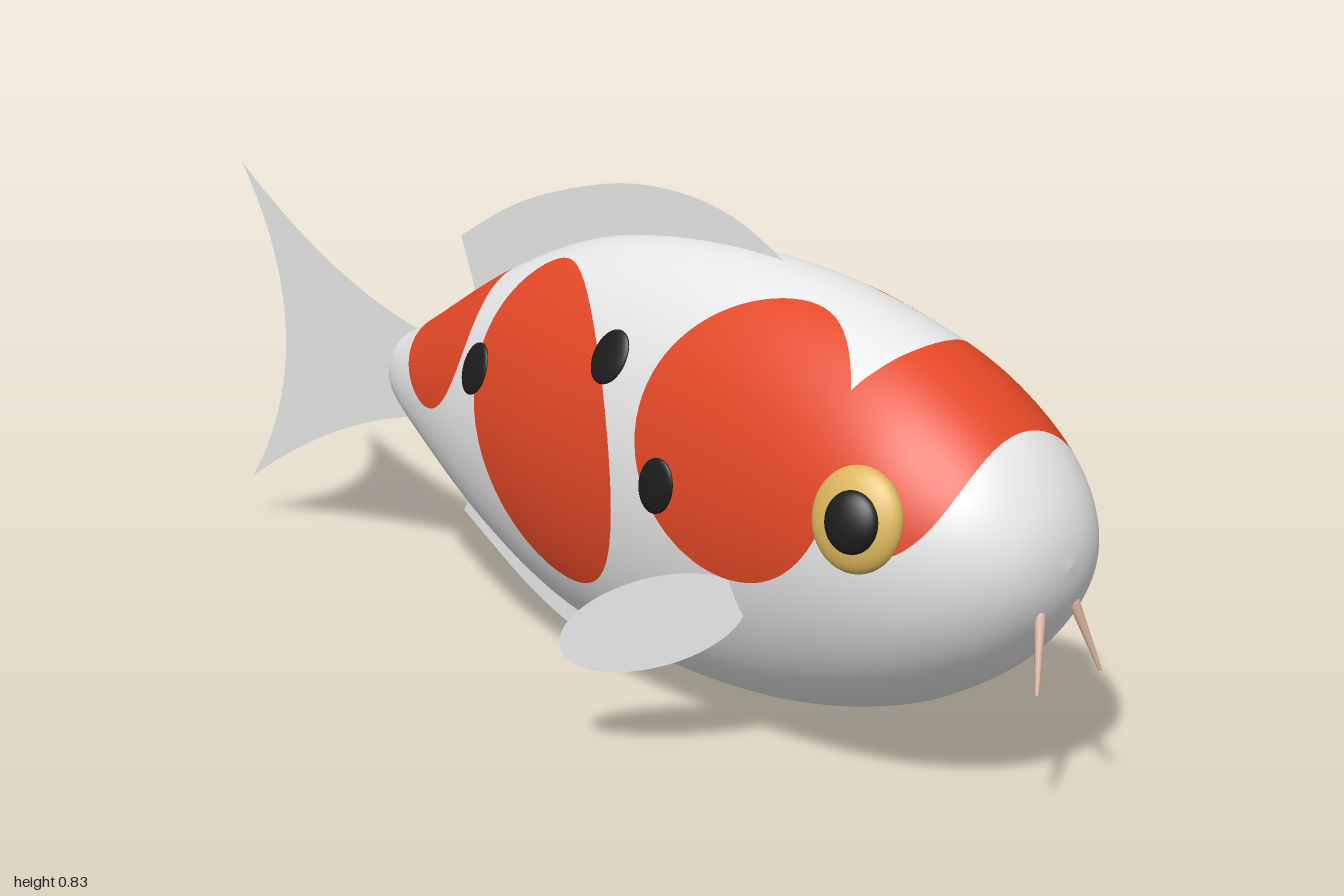
import * as THREE from 'three';

const mat = (name, color, side = THREE.FrontSide) => {
  const m = new THREE.MeshStandardMaterial({ color, side });
  m.name = name;
  return m;
};

// Body stations: x, half height, half width
const CY = 0.407;
const STATIONS = [
  [-0.53, 0, 0], [-0.526, 0.04, 0.035], [-0.505, 0.066, 0.057], [-0.47, 0.084, 0.077],
  [-0.4, 0.127, 0.105], [-0.2, 0.247, 0.165], [0, 0.328, 0.205], [0.25, 0.362, 0.225],
  [0.5, 0.348, 0.235], [0.7, 0.295, 0.23], [0.8, 0.247, 0.212], [0.9, 0.175, 0.165],
  [0.96, 0.1, 0.105], [0.982, 0.05, 0.055], [0.99, 0, 0],
];
const RINGS = 130, SIDES = 112;
const profile = new THREE.CatmullRomCurve3(STATIONS.map(p => new THREE.Vector3(...p))).getSpacedPoints(RINGS);

// Red patches seen from the side: centre x, y, half width, half height, lean
const PATCHES = [
  [-0.314, 0.58, 0.122, 0.18, 0],
  [0.053, 0.455, 0.188, 0.255, -0.197],
  [0.505, 0.528, 0.21, 0.208, 0],
  [0.78, 0.57, 0.11, 0.15, 0],
];
const patchField = p => Math.max(...PATCHES.map(([cx, cy, w, h, lean]) => {
  const dy = p.y - cy, dx = p.x - cx - lean * dy;
  return 1 - (dx / w) ** 2 - (dy / h) ** 2;
}));

// Side surface of the body: z at (x, y), and its outward normal
function sideZ(x, y) {
  let i = profile.findIndex(p => p.x > x);
  const p = profile[i - 1].clone().lerp(profile[i], (x - profile[i - 1].x) / (profile[i].x - profile[i - 1].x));
  return p.z * Math.sqrt(Math.max(0, 1 - ((y - CY) / p.y) ** 2));
}
function sideNormal(x, y) {
  const e = 0.02;
  return new THREE.Vector3(
    (sideZ(x - e, y) - sideZ(x + e, y)) / (2 * e),
    (sideZ(x, y - e) - sideZ(x, y + e)) / (2 * e), 1).normalize();
}

// Keep the part of a polygon where sign * field is positive
function clip(poly, sign) {
  const out = [];
  poly.forEach((a, i) => {
    const b = poly[(i + 1) % poly.length], fa = a.f * sign, fb = b.f * sign;
    if (fa >= 0) out.push(a);
    if (fa * fb < 0) {
      const t = fa / (fa - fb);
      out.push({ p: a.p.clone().lerp(b.p, t), n: a.n.clone().lerp(b.n, t).normalize(), f: 0 });
    }
  });
  return out;
}

// Smooth elliptical hull, cut along the patch outlines into two colour groups
function bodyGeometry() {
  const pos = [], index = [];
  profile.forEach(({ x, y: h, z: w }) => {
    for (let j = 0; j < SIDES; j++) {
      const a = (j / SIDES) * Math.PI * 2;
      pos.push(x, CY + h * Math.cos(a), w * Math.sin(a));
    }
  });
  for (let i = 0; i < RINGS; i++) {
    for (let j = 0; j < SIDES; j++) {
      const k = (j + 1) % SIDES, a = i * SIDES, b = a + SIDES;
      index.push(a + j, a + k, b + j, a + k, b + k, b + j);
    }
  }
  const hull = new THREE.BufferGeometry();
  hull.setAttribute('position', new THREE.Float32BufferAttribute(pos, 3));
  hull.setIndex(index);
  hull.computeVertexNormals();

  const verts = [];
  for (let i = 0; i < pos.length / 3; i++) {
    const p = new THREE.Vector3().fromBufferAttribute(hull.attributes.position, i);
    verts.push({ p, n: new THREE.Vector3().fromBufferAttribute(hull.attributes.normal, i), f: patchField(p) });
  }
  const P = [], N = [], geo = new THREE.BufferGeometry();
  [-1, 1].forEach((sign, group) => {
    const start = P.length / 3;
    for (let i = 0; i < index.length; i += 3) {
      const poly = clip([verts[index[i]], verts[index[i + 1]], verts[index[i + 2]]], sign);
      for (let k = 2; k < poly.length; k++) {
        for (const v of [poly[0], poly[k - 1], poly[k]]) {
          P.push(v.p.x, v.p.y, v.p.z);
          N.push(v.n.x, v.n.y, v.n.z);
        }
      }
    }
    geo.addGroup(start, P.length / 3 - start, group);
  });
  geo.setAttribute('position', new THREE.Float32BufferAttribute(P, 3));
  geo.setAttribute('normal', new THREE.Float32BufferAttribute(N, 3));
  return geo;
}

// Flat fin: a smooth curve through the edge, closed by straight lines
function finGeometry(edge, rest) {
  const shape = new THREE.Shape();
  shape.moveTo(...edge[0]);
  shape.splineThru(edge.slice(1).map(p => new THREE.Vector2(...p)));
  rest.forEach(p => shape.lineTo(...p));
  return new THREE.ShapeGeometry(shape, 32);
}

function tailGeometry() {
  const s = new THREE.Shape();
  s.moveTo(-0.45, 0.475);
  s.quadraticCurveTo(-0.72, 0.515, -1, 0.71);
  s.quadraticCurveTo(-0.76, 0.4, -1, 0.085);
  s.quadraticCurveTo(-0.72, 0.275, -0.45, 0.325);
  return new THREE.ShapeGeometry(s, 24);
}

export function createModel() {
  const model = new THREE.Group();
  const white = mat('bodyWhite', 0xf2f2f2);
  const red = mat('patchRed', 0xe34826);
  const fin = mat('finWhite', 0xeeeeee, THREE.DoubleSide);
  const gold = mat('eyeGold', 0xdcb65c);
  const black = mat('black', 0x1c1c1c);
  const pink = mat('barbelPink', 0xe2b8a4);

  const add = (name, geometry, material) => {
    const mesh = new THREE.Mesh(geometry, material);
    mesh.name = name;
    model.add(mesh);
    return mesh;
  };

  add('body', bodyGeometry(), [white, red]);

  // Fins on the centre line
  add('tailFin', tailGeometry(), fin);
  add('dorsalFin', finGeometry(
    [[-0.368, 0.675], [-0.2, 0.765], [0.01, 0.827], [0.17, 0.838], [0.3, 0.815], [0.42, 0.758]],
    [[0.3, 0.65], [-0.2, 0.55], [-0.32, 0.53], [-0.338, 0.6]]), fin);
  add('analFin', finGeometry(
    [[-0.37, 0.168], [-0.2, 0.07], [-0.07, 0.02], [0.035, 0.004], [0.125, 0.016], [0.21, 0.07]],
    [[0.1, 0.2], [-0.2, 0.25], [-0.32, 0.27], [-0.338, 0.22]]), fin);

  // Flattened ball lying on the body side
  const button = (name, material, s, x, y, lift, size, roll = 0) => {
    const n = sideNormal(x, y);
    const at = new THREE.Vector3(x, y, sideZ(x, y)).addScaledVector(n, lift);
    n.z *= s;
    at.z *= s;
    const mesh = add(name, new THREE.SphereGeometry(1, 32, 20), material);
    mesh.position.copy(at);
    mesh.lookAt(at.clone().add(n));
    mesh.rotateZ(-s * roll);
    mesh.scale.set(...size);
  };

  for (const s of [1, -1]) {
    const side = s > 0 ? 'Left' : 'Right';

    button('eye' + side, gold, s, 0.757, 0.474, -0.008, [0.076, 0.081, 0.03]);
    button('pupil' + side, black, s, 0.76, 0.472, 0.014, [0.045, 0.048, 0.02]);
    for (const [x, y] of [[-0.145, 0.51], [0.205, 0.605], [0.355, 0.435]]) {
      button('spot' + side, black, s, x, y, 0, [0.038, 0.047, 0.009], 0.35);
    }

    // Upright oval fin swept back and outward
    const oval = new THREE.CircleGeometry(1, 48).scale(0.153, 0.072, 1).rotateZ(-0.344);
    const pectoral = add('pectoralFin' + side, oval, fin);
    pectoral.position.set(0.42, 0.243, s * 0.3);
    pectoral.rotation.y = -s * 2.478;

    // Tapered barbel hanging from the mouth
    const top = new THREE.Vector3(0.968, 0.34, s * 0.039), tip = new THREE.Vector3(0.996, 0.228, s * 0.075);
    const barbel = add('barbel' + side, new THREE.CylinderGeometry(0.009, 0.003, top.distanceTo(tip), 12), pink);
    barbel.position.copy(top).lerp(tip, 0.5);
    barbel.quaternion.setFromUnitVectors(new THREE.Vector3(0, 1, 0), top.clone().sub(tip).normalize());
  }
  return model;
}
